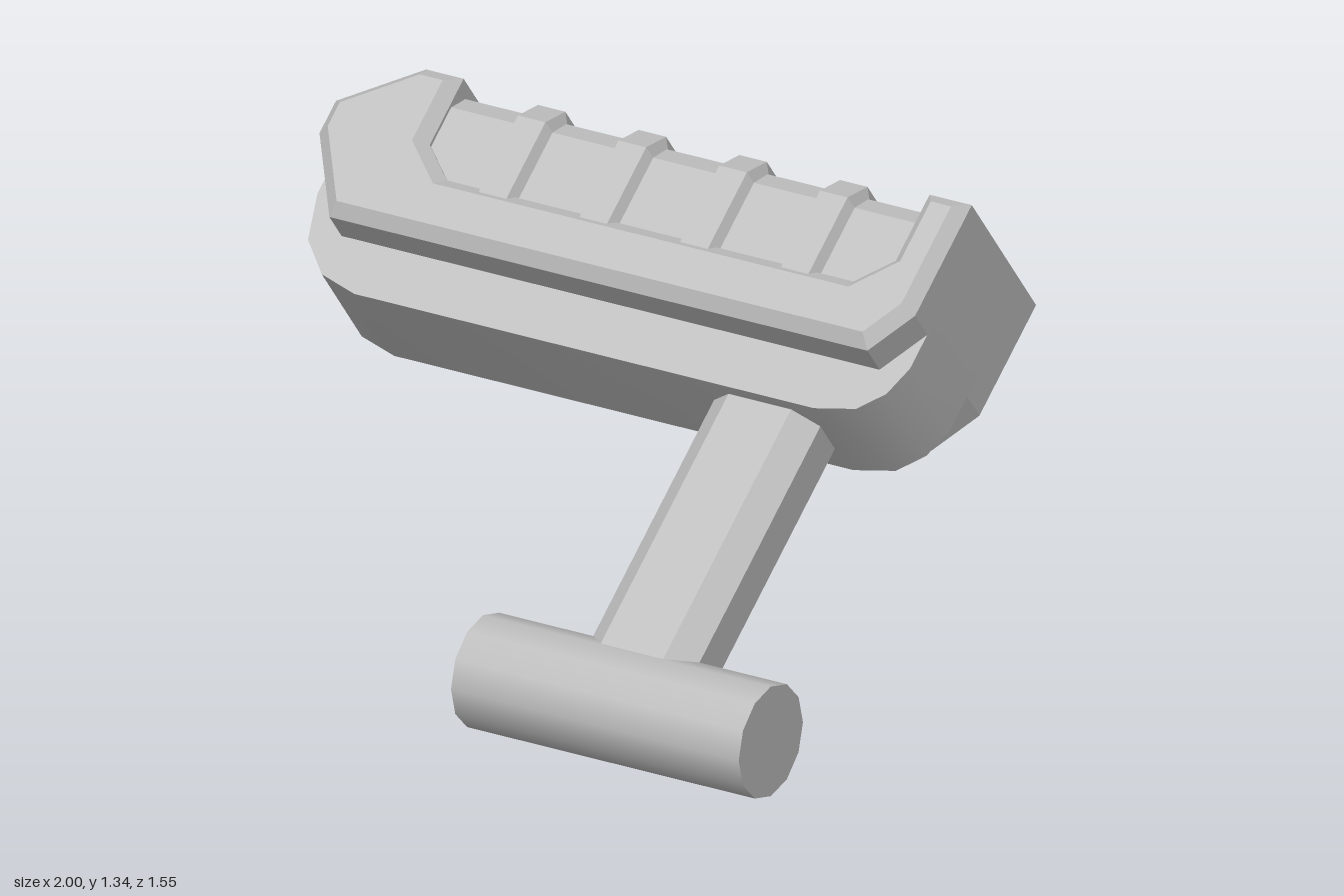
import * as THREE from 'three';
import { toCreasedNormals } from 'three/addons/utils/BufferGeometryUtils.js';

// Local frame: x across, y through the head's thickness, -z along the arm from the crossbar.
const shapeOf = (pts) => new THREE.Shape(pts.map(([x, y]) => new THREE.Vector2(x, y)));

// Prism with optional inward chamfer (size s, thickness t), centred on its depth
function prism(pts, depth, s = 0, t = s) {
  const geo = new THREE.ExtrudeGeometry(shapeOf(pts), {
    depth: depth - 2 * t, bevelEnabled: s > 0, bevelSegments: 1,
    bevelSize: s, bevelThickness: t, bevelOffset: -s,
  });
  return geo.translate(0, 0, t - depth / 2);
}
const alongY = (geo) => geo.rotateX(-Math.PI / 2); // outline (x, arm distance)
const alongX = (geo) => geo.rotateY(Math.PI / 2);  // outline (arm distance, y)

// Grip section: flat rear with chamfered corners
const section = (front, corner, rear, half, rearHalf) => [
  [front, -half], [corner, -half], [rear, -rearHalf],
  [rear, rearHalf], [corner, half], [front, half],
];

export function createModel() {
  const model = new THREE.Group();
  const tilted = new THREE.Group();
  tilted.name = 'tiltedAssembly';
  tilted.position.set(0, 0.16, 0.62);
  tilted.rotation.x = 0.669;
  model.add(tilted);

  const grey = new THREE.MeshStandardMaterial({ color: 0xbcbcbc });
  grey.name = 'plain grey';
  const add = (name, geo) => {
    const mesh = new THREE.Mesh(geo, grey);
    mesh.name = name;
    tilted.add(mesh);
    return mesh;
  };

  // Round crossbar at the foot
  const bar = new THREE.CylinderGeometry(0.16, 0.16, 0.92, 12).rotateZ(Math.PI / 2).rotateX(-0.669);
  add('crossbar', bar).position.x = 0.54;

  // Eight-sided arm
  const arm = prism([
    [-0.1, -0.118], [0.1, -0.118], [0.17, -0.058], [0.17, 0.058],
    [0.1, 0.118], [-0.1, 0.118], [-0.17, 0.058], [-0.17, -0.058],
  ], 1.0);
  add('arm', arm).position.set(0.55, 0, -0.5);

  // Narrow front body with rounded ends
  const body = prism([
    [-0.73, 0.917], [0.74, 0.917], [0.86, 0.945], [0.925, 1.01], [0.955, 1.1],
    [0.955, 1.3], [-0.98, 1.3], [-0.98, 1.18], [-0.94, 1.04], [-0.85, 0.95],
  ], 0.32);
  add('frontBody', toCreasedNormals(alongY(body), 0.75));

  // Chamfered frame, open at the rear around the grip
  const frame = prism([
    [-0.85, 1.075], [0.87, 1.075], [0.955, 1.21], [0.955, 1.57],
    [0.82, 1.57], [0.82, 1.355], [0.73, 1.265], [-0.57, 1.265], [-0.67, 1.355],
    [-0.67, 1.57], [-0.79, 1.57], [-1, 1.415], [-1, 1.31],
  ], 0.586, 0.035);
  add('frame', alongY(frame));

  // Grip block set into the frame
  const grip = prism(section(1.15, 1.483, 1.538, 0.248, 0.204), 1.52);
  add('grip', alongX(grip)).position.x = 0.075;

  // Four raised ribs wrapping the grip
  for (let i = 0; i < 4; i++) {
    const rib = prism(section(1.15, 1.494, 1.569, 0.278, 0.213), 0.12, 0.03, 0.016);
    add('gripRib' + (i + 1), alongX(rib)).position.x = -0.406 + i * 0.322;
  }
  return model;
}
